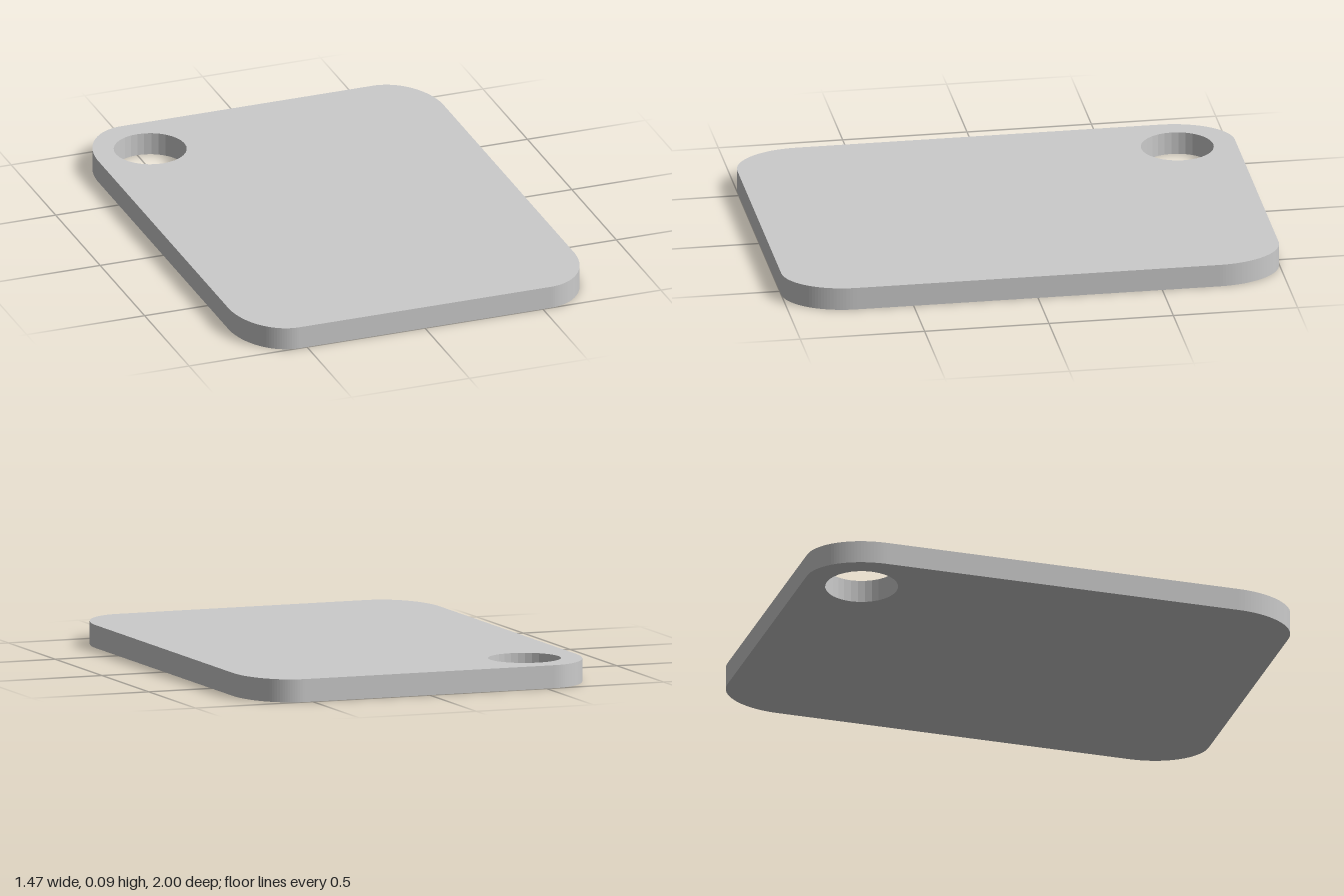
import * as THREE from 'three';

const HALF_W = 0.733, HALF_D = 1, THICK = 0.092;
const RX = 0.2, RZ = 0.27; // elliptical corner radii

export function createModel() {
  const group = new THREE.Group();
  group.name = 'tagPlate';

  // Outline: four elliptical corners joined by straight edges
  const outline = new THREE.Shape();
  const cx = HALF_W - RX, cy = HALF_D - RZ;
  [[1, 1], [-1, 1], [-1, -1], [1, -1]].forEach(([sx, sy], i) => {
    const start = i * Math.PI / 2;
    outline.absellipse(sx * cx, sy * cy, RX, RZ, start, start + Math.PI / 2, false, 0);
  });
  outline.closePath();

  // Round hole in the back right corner
  const hole = new THREE.Path();
  hole.absarc(-0.5, 0.763, 0.145, 0, Math.PI * 2, true);
  outline.holes.push(hole);

  // Plate lying flat on the ground
  const geometry = new THREE.ExtrudeGeometry(outline, {
    depth: THICK, bevelEnabled: false, curveSegments: 16,
  });
  geometry.rotateX(-Math.PI / 2);

  const plate = new THREE.Mesh(geometry, new THREE.MeshStandardMaterial({ color: 0xcccccc }));
  plate.name = 'plate';
  group.add(plate);
  return group;
}
